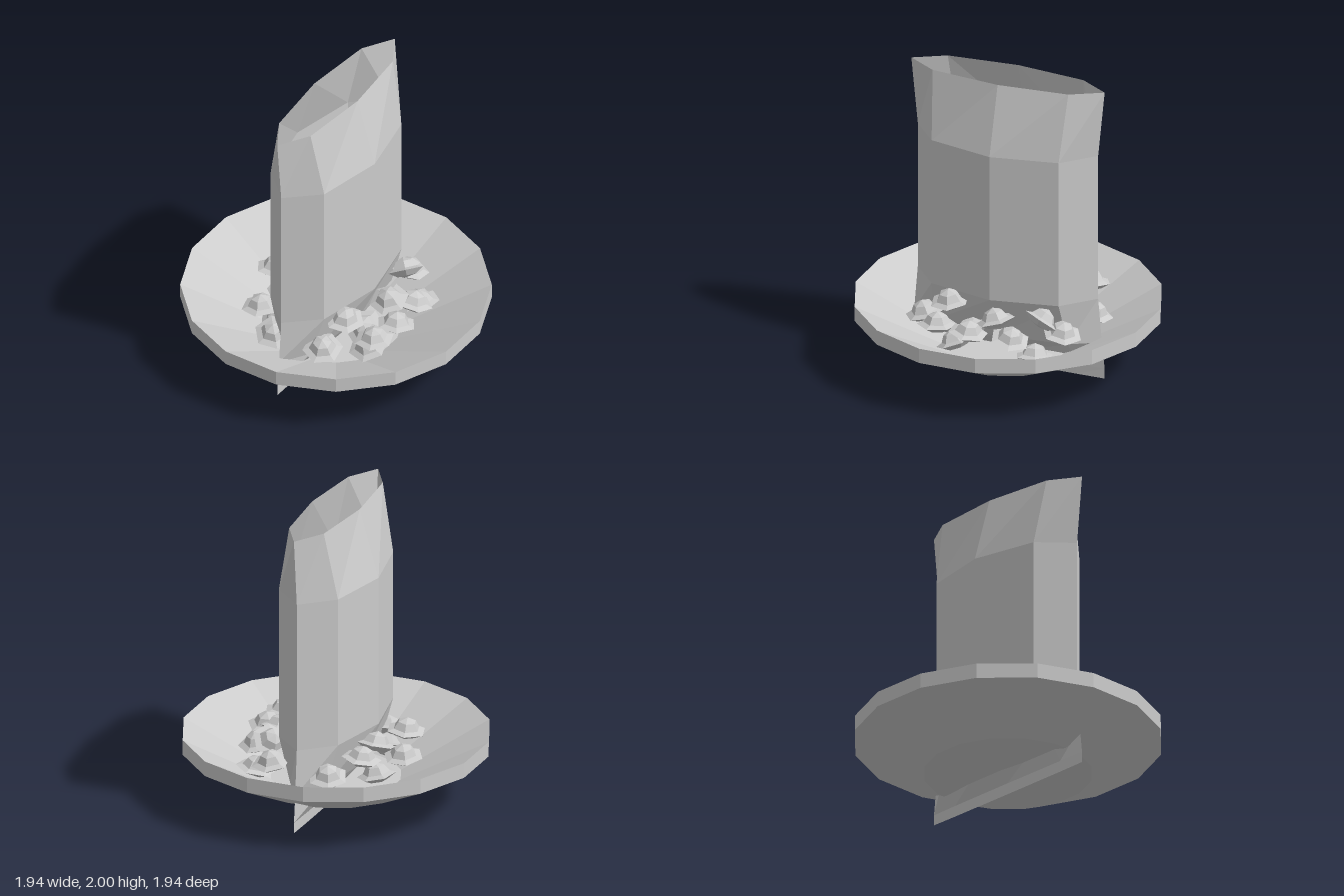
import * as THREE from 'three';

const mat = new THREE.MeshStandardMaterial({ color: 0xcccccc, flatShading: true });
const thinMat = new THREE.MeshStandardMaterial({ color: 0xcccccc, flatShading: true, side: THREE.DoubleSide });

const lathe = (pts, sides, phi = 0) =>
  new THREE.LatheGeometry(pts.map(([r, y]) => new THREE.Vector2(r, y)), sides, phi);

// Open bag: eight-sided pointed sections stacked from the flat seam to the mouth
function makeBag() {
  // y, half width at middle, half width at shoulder, shoulder z, tip z
  const rings = [
    [0, 0.004, 0.003, 0.475, 0.67],
    [0.07, 0.006, 0.004, 0.475, 0.67],
    [0.25, 0.165, 0.115, 0.465, 0.65],
    [0.55, 0.295, 0.205, 0.44, 0.625],
    [1.55, 0.295, 0.205, 0.44, 0.625],
    [2, 0.165, 0.12, 0.47, 0.67],
  ];
  const pos = [], idx = [];
  for (const [y, a, b, s, t] of rings) {
    const section = [[0, t], [b, s], [a, 0], [b, -s], [0, -t], [-b, -s], [-a, 0], [-b, s]];
    for (const [x, z] of section) pos.push(x, y, z);
  }
  for (let r = 0; r < rings.length - 1; r++) {
    for (let i = 0; i < 8; i++) {
      const p = r * 8 + i, q = r * 8 + (i + 1) % 8;
      idx.push(p, q, q + 8, p, q + 8, p + 8);
    }
  }
  const geo = new THREE.BufferGeometry();
  geo.setAttribute('position', new THREE.Float32BufferAttribute(pos, 3));
  geo.setIndex(idx);
  geo.computeVertexNormals();
  return geo;
}

export function createModel() {
  const model = new THREE.Group();
  const add = (geo, name, material = mat) => {
    const mesh = new THREE.Mesh(geo, material);
    mesh.name = name;
    model.add(mesh);
    return mesh;
  };

  // Shallow sixteen-sided dish with a sharp rim
  add(lathe([[0, 0.14], [0.54, 0.14], [0.99, 0.36], [0.99, 0.46], [0.42, 0.155], [0, 0.155]],
    16, Math.PI / 16), 'dish');

  add(makeBag(), 'bag', thinMat);

  // Small brimmed pieces heaped around the bag: x, y, z, tilt x, tilt z
  const piece = lathe([[0, -0.045], [0.07, -0.035], [0.13, 0], [0.088, 0.015], [0.06, 0.06], [0, 0.085]], 6);
  const spots = [
    [-0.36, 0.48, -0.42, 0.05, 0.15],
    [-0.17, 0.36, -0.52, -0.3, 0.1],
    [-0.40, 0.32, -0.27, 0.2, -0.3],
    [-0.33, 0.46, -0.12, 0.1, 0.2],
    [-0.48, 0.37, -0.03, 0.1, -0.25],
    [-0.30, 0.36, 0.11, 0.15, 0.3],
    [-0.33, 0.38, 0.36, 0.1, -0.15],
    [-0.15, 0.32, 0.48, 0.3, 0.1],
    [0.24, 0.38, -0.48, -0.2, 0.1],
    [0.29, 0.47, -0.36, -0.75, -0.6],
    [0.45, 0.38, -0.21, -0.1, 0.2],
    [0.36, 0.45, -0.07, 0.1, -0.2],
    [0.50, 0.40, 0.06, 0.1, 0.25],
    [0.30, 0.32, 0.12, 0.3, -0.3],
    [0.48, 0.41, 0.28, 0.1, 0.1],
    [0.26, 0.48, 0.29, 0.05, -0.15],
    [0.22, 0.35, 0.48, 0.25, -0.1],
    [-0.25, 0.26, 0.28, 0.2, 0.2],
    [0.40, 0.27, -0.36, -0.2, 0.3],
    [0.38, 0.26, 0.20, 0.1, 0.3],
  ];
  spots.forEach(([x, y, z, rx, rz], i) => {
    const mesh = add(piece, 'brimmedPiece' + (i + 1));
    mesh.position.set(x, y, z);
    mesh.rotation.set(rx, i * 0.4, rz);
  });

  return model;
}
